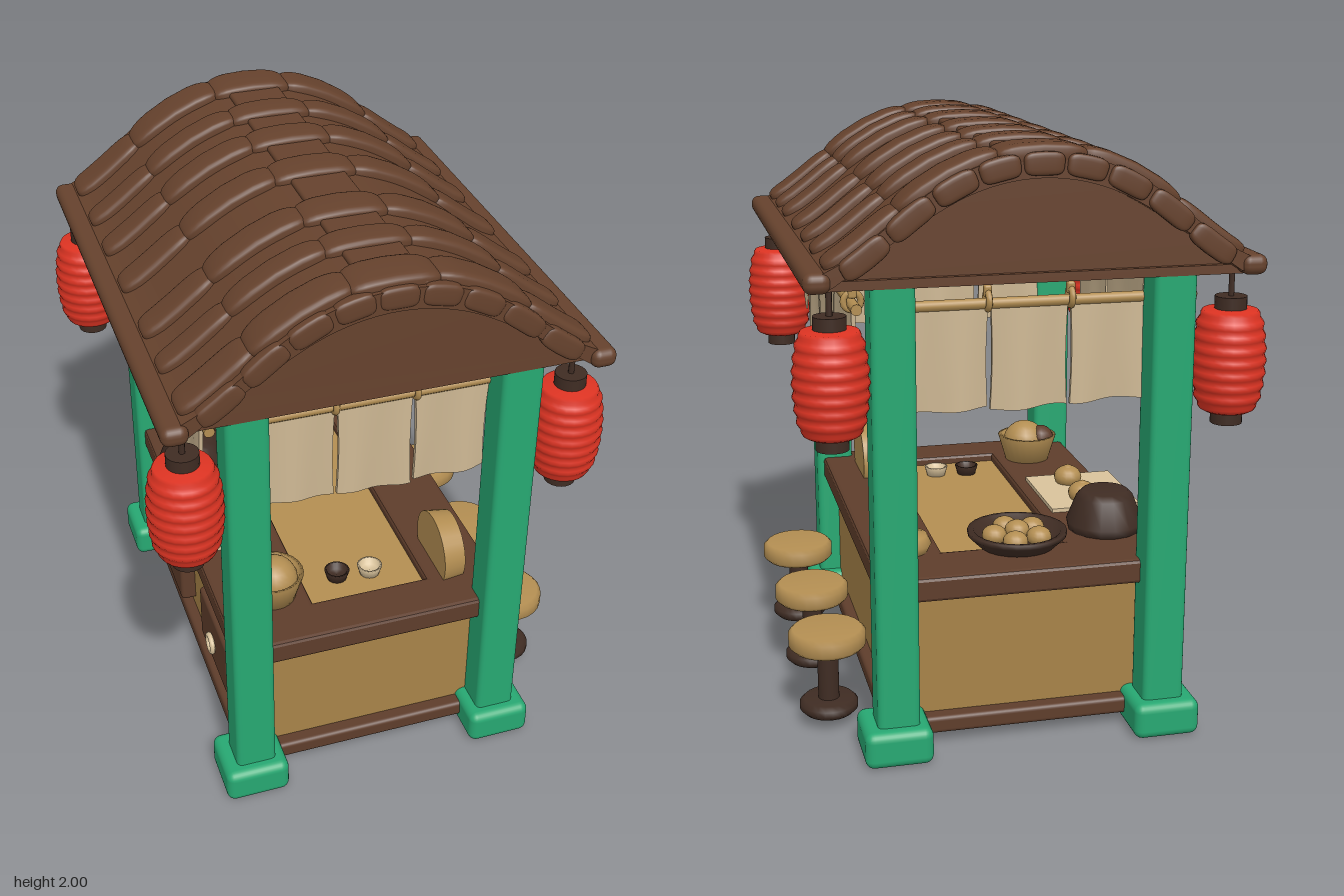
import * as THREE from 'three';
import { RoundedBoxGeometry } from 'three/addons/geometries/RoundedBoxGeometry.js';

const mat = (name, color, side = THREE.FrontSide) => {
  const m = new THREE.MeshStandardMaterial({ color, side });
  m.name = name;
  return m;
};

export function createModel() {
  const roofBrown = mat('roof brown', 0x66422d);
  const trim = mat('trim brown', 0x5e3d2b);
  const dark = mat('dark wood', 0x3f2c23);
  const tan = mat('light wood', 0xb38e52);
  const panel = mat('counter wood', 0xa78348);
  const green = mat('green paint', 0x27a872);
  const red = mat('red paper', 0xdc3322);
  const cloth = mat('cloth', 0xcdb793, THREE.DoubleSide);
  const pale = mat('pale cloth', 0xd8c29b, THREE.DoubleSide);

  const root = new THREE.Group();
  root.name = 'foodStall';
  const add = (name, geo, m, x = 0, y = 0, z = 0, parent = root) => {
    const mesh = new THREE.Mesh(geo, m);
    mesh.name = name;
    mesh.position.set(x, y, z);
    parent.add(mesh);
    return mesh;
  };
  const group = (name, x, y, z) => {
    const g = new THREE.Group();
    g.name = name;
    g.position.set(x, y, z);
    root.add(g);
    return g;
  };
  const rbox = (w, h, d, r = 0.02) => new RoundedBoxGeometry(w, h, d, 3, r);
  const cyl = (r1, r2, h, n = 20) => new THREE.CylinderGeometry(r1, r2, h, n);
  const lathe = (pts, n = 24) => new THREE.LatheGeometry(pts.map(p => new THREE.Vector2(...p)), n);
  const disc = (r, h, b = 0.015) => lathe([[0, 0], [r - b, 0], [r, b], [r, h - b], [r - b, h], [0, h]], 24);

  // Floor and counter
  add('floorSill', rbox(0.96, 0.06, 1.4, 0.015), trim, 0, 0.07, 0);
  add('counterBody', new THREE.BoxGeometry(0.88, 0.44, 1.3), panel, 0, 0.31, 0);
  const rect = (P, x0, x1, z0, z1) => {
    const p = new P();
    p.moveTo(x0, z0); p.lineTo(x1, z0); p.lineTo(x1, z1); p.lineTo(x0, z1); p.closePath();
    return p;
  };
  const topShape = rect(THREE.Shape, -0.48, 0.48, -0.7, 0.7);
  topShape.holes.push(rect(THREE.Path, -0.19, 0.26, -0.56, 0.5));
  const topGeo = new THREE.ExtrudeGeometry(topShape, { depth: 0.06, bevelSize: 0.015, bevelThickness: 0.012, bevelSegments: 2 });
  add('counterTop', topGeo.rotateX(-Math.PI / 2), trim, 0, 0.53, 0);
  add('counterInset', new THREE.BoxGeometry(0.48, 0.04, 1.1), tan, 0.035, 0.55, 0.03);

  // Posts with feet
  for (const sx of [-1, 1]) for (const sz of [-1, 1]) {
    const z = sz > 0 ? 0.7 : -0.72;
    add('post', rbox(0.14, 1.52, 0.135, 0.02), green, sx * 0.45, 0.83, z);
    add('postFoot', rbox(0.225, 0.125, 0.225, 0.03), green, sx * 0.455, 0.0625, z);
  }

  // Roof shell: thick curved sheet extruded along z
  const outer = [[-0.72, 1.61], [-0.6, 1.67], [-0.5, 1.745], [-0.4, 1.825], [-0.3, 1.89], [-0.2, 1.935], [-0.1, 1.96], [0, 1.967]];
  const full = outer.concat(outer.slice(0, -1).reverse().map(([x, y]) => [-x, y]));
  const curve = new THREE.SplineCurve(full.map(p => new THREE.Vector2(...p)));
  const line = curve.getPoints(56);
  const roofY = x => {
    const c = Math.min(Math.max(x, -0.719), 0.719);
    const i = line.findIndex(p => p.x > c);
    const a = line[i - 1], b = line[i];
    return a.y + (b.y - a.y) * (c - a.x) / (b.x - a.x);
  };
  const inner = new THREE.SplineCurve([[0.64, 1.59], [0.4, 1.755], [0.2, 1.86], [0, 1.895], [-0.2, 1.86], [-0.4, 1.755], [-0.64, 1.59]]
    .map(p => new THREE.Vector2(...p))).getPoints(36);
  const shell = new THREE.Shape([...line, new THREE.Vector2(0.7, 1.575), ...inner, new THREE.Vector2(-0.7, 1.575)]);
  add('roofShell', new THREE.ExtrudeGeometry(shell, { depth: 1.66, bevelEnabled: false }), roofBrown, 0, 0, -0.84);
  const gable = new THREE.Shape(inner);
  for (const z of [-0.77, 0.74])
    add('gable', new THREE.ExtrudeGeometry(gable, { depth: 0.03, bevelEnabled: false }), roofBrown, 0, 0, z);
  add('ceiling', new THREE.BoxGeometry(1.36, 0.03, 1.56), roofBrown, 0, 1.585, -0.01);
  for (const s of [-1, 1]) add('eave', rbox(0.085, 0.065, 1.7, 0.028), roofBrown, s * 0.685, 1.605, -0.005);

  // Puffy tile bent over the roof curve
  const tile = (x0, x1, z, depth, lift) => {
    const g = new THREE.SphereGeometry(1, 24, 14).rotateZ(Math.PI / 2);
    const p = g.attributes.position;
    const puff = (v, e) => Math.sign(v) * Math.abs(v) ** e;
    for (let i = 0; i < p.count; i++) {
      const x = (x0 + x1) / 2 + puff(p.getX(i), 0.5) * (x1 - x0) / 2;
      const slope = (roofY(x + 0.02) - roofY(x - 0.02)) / 0.04;
      const h = puff(p.getY(i), 0.55) * 0.036 + lift, n = Math.hypot(1, slope);
      p.setXYZ(i, x - slope * h / n, roofY(x) + h / n, z + puff(p.getZ(i), 0.4) * depth / 2);
    }
    g.computeVertexNormals();
    add('roofTile', g, roofBrown);
  };
  [[-0.76, 0.155], [-0.5, 0.115], [-0.27, 0.125], [-0.01, 0.135], [0.29, 0.135], [0.51, 0.11], [0.73, 0.145]].forEach(([z, d]) => {
    for (const s of [-1, 1]) {
      const span = (a, b, l, k) => tile(Math.min(s * a, s * b), Math.max(s * a, s * b), z, d * k, l);
      span(0.12, 0.44, 0, 0.96);
      span(0.42, 0.66, -0.004, 0.9);
    }
    tile(-0.145, 0.145, z, d * 1.06, -0.002);
  });
  add('ridgeStrip', rbox(0.19, 0.03, 1.63, 0.012), roofBrown, 0.005, 1.963, -0.01);
  // Small tiles along both gable edges
  for (const z of [-0.835, 0.805]) for (let i = -4; i <= 4; i++)
    tile(i * 0.14 - 0.065, i * 0.14 + 0.065, z, 0.045, -0.028);

  // Lanterns
  const ribs = [[0.0, 1.11], [0.075, 1.112]];
  for (let i = 0; i <= 32; i++) {
    const t = i / 32, r = 0.086 + 0.032 * Math.sin(Math.PI * t) ** 0.5;
    ribs.push([r + 0.004 * Math.cos(t * Math.PI * 16), 1.12 + t * 0.325]);
  }
  ribs.push([0, 1.455]);
  for (const [x, z] of [[0.64, -0.75], [0.64, 0.71], [-0.65, 0.75], [-0.65, -0.74]]) {
    const g = group('lantern', x, 0, z);
    add('lanternBody', lathe(ribs, 24), red, 0, 0, 0, g);
    add('lanternBase', cyl(0.052, 0.052, 0.05), dark, 0, 1.095, 0, g);
    add('lanternCap', cyl(0.052, 0.052, 0.05), dark, 0, 1.465, 0, g);
    add('lanternCord', cyl(0.01, 0.01, 0.13, 8), dark, 0, 1.54, 0, g);
  }

  // Curtain rails with hooks; each rail is built along x and turned into place
  const curtain = (w, h, seed) => {
    const g = new THREE.BoxGeometry(w, h, 0.014, 14, 8, 1);
    const p = g.attributes.position;
    for (let i = 0; i < p.count; i++) {
      const x = p.getX(i), y = p.getY(i), drop = 0.5 - y / h;
      p.setXYZ(i, x * (1 - 0.04 * Math.sin(drop * Math.PI)), y + 0.006 * Math.cos(x / w * 5 + seed) * drop,
        p.getZ(i) + 0.01 * drop * Math.sin(x / w * 8 + seed * 2));
    }
    g.computeVertexNormals();
    return g;
  };
  const rail = (name, x, z, turn, length, panels, hooks) => {
    const g = group(name, x, 0, z);
    g.rotation.y = turn;
    add('rod', cyl(0.018, 0.018, length, 12).rotateZ(Math.PI / 2), tan, 0, 1.485, 0, g);
    panels.forEach(([a, b, low], i) => add('curtain', curtain(b - a, 1.475 - low, i + 1), cloth, (a + b) / 2, (1.475 + low) / 2, 0, g));
    hooks.forEach(h => {
      add('hook', new THREE.TorusGeometry(0.028, 0.011, 8, 16).rotateY(Math.PI / 2), tan, h, 1.495, 0, g);
      add('hookTop', rbox(0.026, 0.04, 0.03, 0.008), tan, h, 1.525, 0, g);
    });
    return g;
  };
  const shortPanels = [[-0.39, -0.14, 1.15], [-0.13, 0.12, 1.14], [0.13, 0.38, 1.145]];
  const longPanels = [[-0.57, -0.21, 1.16], [-0.2, 0.22, 1.16], [0.23, 0.6, 1.15]];
  const longHooks = [-0.54, -0.21, 0.24, 0.58];
  rail('frontCurtains', 0, 0.65, 0, 0.96, shortPanels, [-0.14, 0.13]);
  rail('backCurtains', 0, -0.66, 0, 0.96, shortPanels, [-0.14, 0.13]);
  const side = rail('leftCurtains', 0.545, 0, Math.PI / 2, 1.34, longPanels, longHooks);
  rail('rightCurtains', -0.545, 0, Math.PI / 2, 1.34, longPanels, longHooks);
  add('curtainPatch', new THREE.CircleGeometry(0.062, 7), pale, -0.47, 1.31, 0.02, side);

  // Stools
  for (const z of [0.41, -0.02, -0.44]) {
    const g = group('stool', 0.635, 0, z);
    add('stoolBase', disc(0.1, 0.05), dark, 0, 0.04, 0, g);
    add('stoolLeg', cyl(0.036, 0.036, 0.22), dark, 0, 0.18, 0, g);
    add('stoolSeat', disc(0.132, 0.07, 0.015), tan, 0, 0.275, 0, g);
  }

  // Drawers with ring pulls
  for (const [y, z] of [[0.25, -0.3], [0.36, 0.37]]) {
    const g = group('drawer', -0.45, y, z);
    add('drawerFront', rbox(0.09, 0.22, 0.36, 0.015), trim, 0, 0, 0, g);
    add('drawerPull', new THREE.TorusGeometry(0.032, 0.01, 8, 18).rotateY(Math.PI / 2), pale, -0.055, -0.01, 0, g);
  }

  // Serving mat with buns
  add('servingMat', new THREE.BoxGeometry(0.33, 0.014, 0.38), pale, -0.385, 0.61, -0.015);
  const bun = (x, y, z, r) => add('bun', new THREE.SphereGeometry(r, 16, 10).scale(1, 0.8, 1), tan, x, y, z);
  for (const z of [0.08, -0.11]) {
    bun(-0.36, 0.64, z, 0.052);
    bun(-0.36, 0.668, z, 0.022);
  }

  // Bowls and pots
  const bowl = r => lathe([[0, 0], [r * 0.7, 0], [r, 0.05], [r, 0.065], [r * 0.88, 0.065], [r * 0.7, 0.03], [0, 0.03]]);
  add('darkBowl', bowl(0.17), dark, -0.02, 0.59, -0.47);
  for (let i = 0; i < 6; i++)
    bun(-0.02 + 0.08 * Math.cos(i * 1.257) * (i < 5), 0.64 + 0.012 * (i === 5), -0.47 + 0.08 * Math.sin(i * 1.257) * (i < 5), 0.043);
  const basket = group('basket', -0.3, 0.6, 0.46);
  add('basketBowl', lathe([[0, 0], [0.085, 0], [0.115, 0.1], [0.1, 0.1], [0.08, 0.04], [0, 0.04]]), tan, 0, 0, 0, basket);
  add('bread', new THREE.SphereGeometry(0.085, 18, 12), tan, 0.01, 0.07, 0, basket);
  add('darkBread', new THREE.SphereGeometry(0.05, 14, 10), trim, -0.05, 0.09, -0.03, basket);
  add('castPot', lathe([[0, 0], [0.13, 0], [0.135, 0.03], [0.1, 0.12], [0.08, 0.14], [0, 0.14]], 16), dark, -0.36, 0.6, -0.38);
  add('lidPot', lathe([[0, 0], [0.07, 0], [0.085, 0.03], [0.07, 0.06], [0.025, 0.075], [0.028, 0.1], [0, 0.105]]), tan, 0.36, 0.6, -0.45);
  for (const [x, z, m] of [[-0.04, 0.41, dark], [0.08, 0.42, pale]])
    add('cup', lathe([[0, 0], [0.035, 0], [0.045, 0.035], [0.036, 0.035], [0.03, 0.012], [0, 0.012]], 18), m, x, 0.57, z);

  // Upright round board, its lower edge sunk into the counter
  add('roundBoard', cyl(0.135, 0.125, 0.08, 28).rotateZ(Math.PI / 2), tan, 0.34, 0.655, 0.455);
  return root;
}
